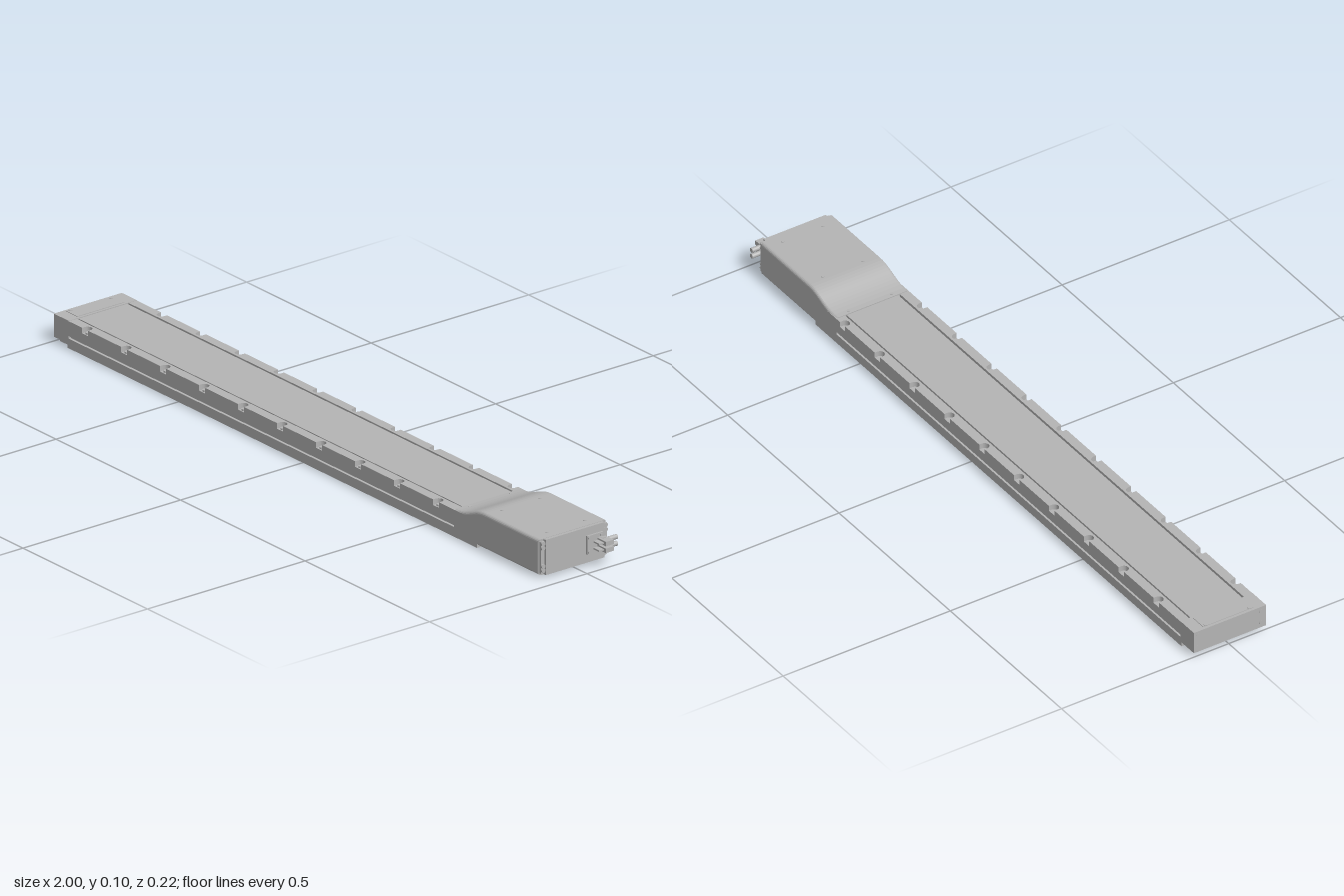
import * as THREE from 'three';

const MID = 0.004; // the body sits slightly off centre, the plugs reach to the back
const HALF = 0.108;

export function createModel() {
  const model = new THREE.Group();
  model.name = 'linearActuator';
  const body = new THREE.Group();
  body.name = 'body';
  body.position.z = MID;
  model.add(body);
  const grey = new THREE.MeshStandardMaterial({ color: 0xb4b4b4 });
  grey.name = 'aluminium grey';

  const add = (name, geo, parent = body) => {
    const mesh = new THREE.Mesh(geo, grey);
    mesh.name = name;
    parent.add(mesh);
    return mesh;
  };
  // box from its limits
  const box = (name, x0, x1, y0, y1, z0, z1, parent) =>
    add(name, new THREE.BoxGeometry(x1 - x0, y1 - y0, z1 - z0), parent)
      .position.set((x0 + x1) / 2, (y0 + y1) / 2, (z0 + z1) / 2);
  // short cylinder along an axis
  const disc = (name, axis, r, len, x, y, z, sides = 14, parent = body) => {
    const geo = new THREE.CylinderGeometry(r, r, len, sides);
    if (axis === 'x') geo.rotateZ(Math.PI / 2);
    if (axis === 'z') geo.rotateX(Math.PI / 2);
    add(name, geo, parent).position.set(x, y, z);
  };
  const shapeOf = (pts) => new THREE.Shape(pts.map(([a, b]) => new THREE.Vector2(a, b)));

  // rail: cross-section with side grooves and a shallow recess underneath
  const half = [
    [0.078, 0.003], [0.08, 0], [HALF, 0], [HALF, 0.026], [0.101, 0.026],
    [0.101, 0.033], [HALF, 0.033], [HALF, 0.058],
  ];
  const section = [...half, ...half.map(([z, y]) => [-z, y]).reverse()];
  const railGeo = new THREE.ExtrudeGeometry(shapeOf(section), { depth: 1.595, bevelEnabled: false });
  railGeo.rotateY(Math.PI / 2);
  add('rail', railGeo).position.x = -0.945;

  // top lips with round mounting notches cut in from the outer edge
  const notches = Array.from({ length: 10 }, (_, i) => -0.874 + i * 0.1566);
  for (const side of [1, -1]) {
    const lip = new THREE.Shape();
    lip.moveTo(-0.945, 0.082);
    lip.lineTo(0.65, 0.082);
    lip.lineTo(0.65, HALF);
    for (const x of [...notches].reverse()) {
      lip.lineTo(x + 0.012, HALF);
      lip.lineTo(x + 0.012, 0.1);
      lip.absarc(x, 0.1, 0.012, 0, Math.PI, true);
      lip.lineTo(x - 0.012, HALF);
    }
    lip.lineTo(-0.945, HALF);
    const geo = new THREE.ExtrudeGeometry(lip, { depth: 0.015, bevelEnabled: false, curveSegments: 8 });
    geo.rotateX(Math.PI / 2);
    if (side < 0) geo.rotateY(Math.PI).translate(-0.295, 0, 0);
    add(side > 0 ? 'frontLip' : 'backLip', geo).position.y = 0.073;
    // screws in the notches
    for (const x of notches) disc('mountingScrew', 'y', 0.007, 0.005, x, 0.06, side * 0.098, 12);
  }

  // cover strip between the lips
  box('coverStrip', -0.945, 0.65, 0.056, 0.072, -0.077, 0.077);

  // end cap
  box('endCap', -1, -0.94, 0.012, 0.074, -HALF, HALF);
  box('endCapFoot', -0.985, -0.94, 0.003, 0.013, -0.1, 0.1);
  box('endCapTopPlate', -0.992, -0.947, 0.073, 0.0755, -0.075, 0.075);
  for (const s of [1, -1]) {
    disc('endCapScrew', 'y', 0.005, 0.002, -0.988, 0.076, s * 0.065);
    disc('housingFrontScrew', 'y', 0.005, 0.004, 0.617, 0.074, s * 0.065);
    for (const y of [0.026, 0.06]) disc('endCapBolt', 'x', 0.007, 0.003, -1 + 0.001, y, s * 0.094);
  }

  // motor housing: side profile with a ramp, edges rounded
  const profile = new THREE.Shape();
  profile.moveTo(0.607, 0.006);
  profile.lineTo(0.948, 0.006);
  profile.lineTo(0.948, 0.103);
  profile.lineTo(0.73, 0.103);
  profile.bezierCurveTo(0.685, 0.103, 0.67, 0.077, 0.607, 0.0745);
  const r = 0.008;
  const housing = new THREE.ExtrudeGeometry(profile, {
    depth: 2 * (HALF - r), bevelThickness: r, bevelSize: r, bevelOffset: -r,
    bevelSegments: 4, curveSegments: 12,
  });
  add('motorHousing', housing).position.z = -(HALF - r);
  box('housingSidePlate', 0.607, 0.7, 0.003, 0.07, -HALF, HALF);
  box('housingBottomPanel', 0.72, 0.92, 0.003, 0.008, -0.08, 0.08);
  for (const s of [1, -1]) {
    box('housingFoot', 0.65, 0.7, 0, 0.01, s * 0.094 - 0.014, s * 0.094 + 0.014);
    for (const x of [0.74, 0.92]) disc('housingTopScrew', 'y', 0.004, 0.002, x, 0.1035, s * 0.06);
  }

  // housing end plate and its corner screws
  box('housingEndPlate', 0.945, 0.957, 0.007, 0.102, -0.093, 0.093);
  for (const s of [1, -1]) {
    box('endPlateEdge', 0.945, 0.952, 0.012, 0.097, s * 0.098 - 0.007, s * 0.098 + 0.007);
    for (const y of [0.02, 0.031, 0.08, 0.092]) disc('endPlateScrew', 'x', 0.006, 0.006, 0.953, y, s * 0.099);
  }

  // bottom holes
  for (const x of [-0.85, -0.55, -0.2, 0.15, 0.5])
    for (const s of [1, -1]) disc('bottomScrew', 'y', 0.005, 0.002, x, 0.001, s * 0.094, 12);
  for (const x of [-0.8, -0.72, 0.42, 0.5])
    for (const s of [1, -1]) disc('bottomPin', 'y', 0.005, 0.002, x, 0.0025, s * 0.035, 12);

  // connector with two angled plugs
  const connector = new THREE.Group();
  connector.name = 'connector';
  model.add(connector);
  box('connectorFlange', 0.955, 0.962, 0.03, 0.08, -0.081, -0.031, connector);
  for (const y of [0.036, 0.074])
    for (const z of [-0.037, -0.075]) disc('flangeScrew', 'x', 0.004, 0.004, 0.963, y, z, 12, connector);
  for (const y of [0.046, 0.064]) {
    disc('plugSocket', 'x', 0.008, 0.02, 0.968, y, -0.072, 16, connector);
    box('plugBody', 0.966, 1, y - 0.006, y + 0.006, -0.085, -0.06, connector);
    box('plugLatch', 0.968, 0.992, y - 0.002, y + 0.002, -0.06, -0.045, connector);
    disc('plugCable', 'z', 0.0065, 0.035, 0.977, y, -0.0945, 16, connector);
  }
  return model;
}
